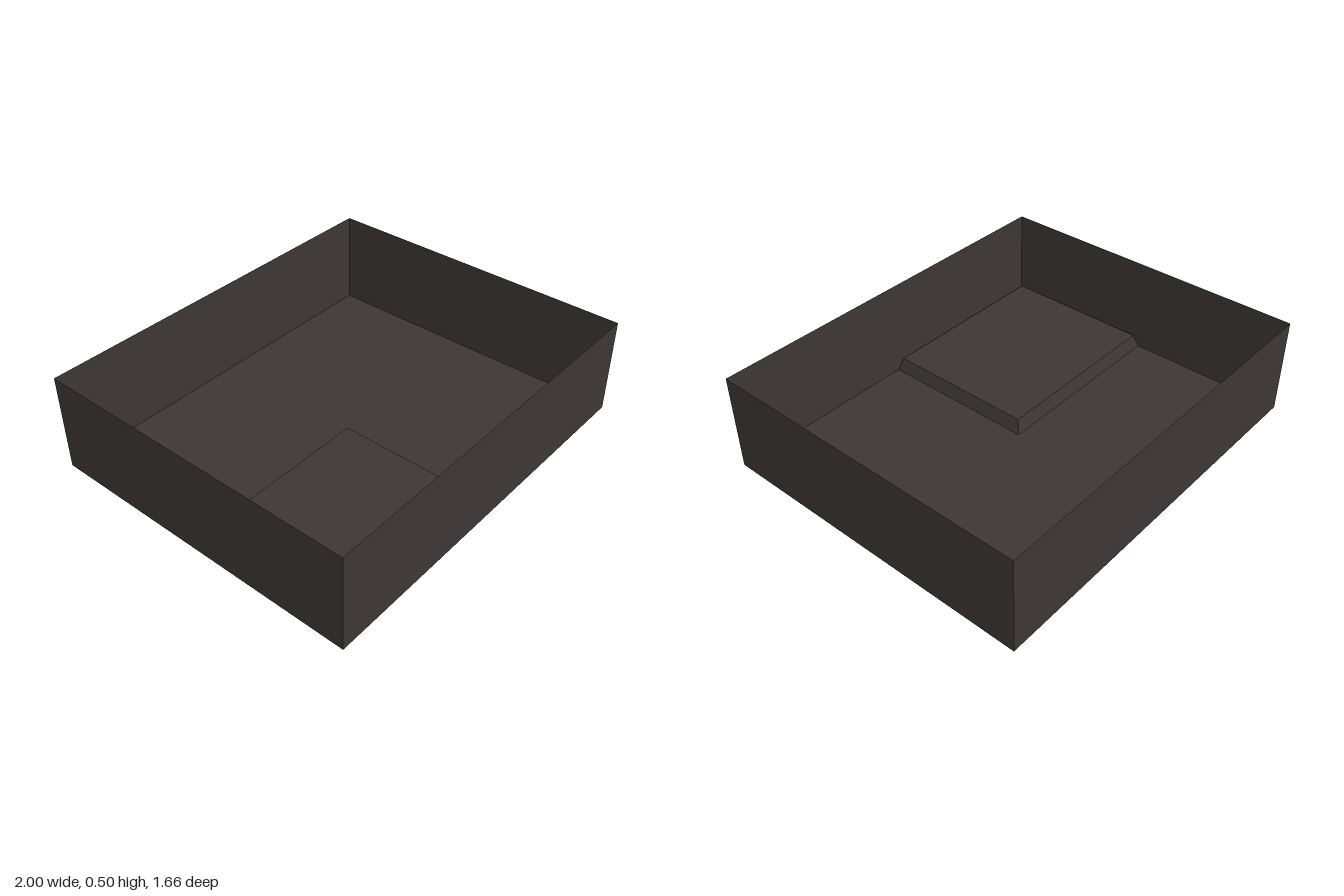
import * as THREE from 'three';

const W = 2, D = 1.664, H = 0.5;      // tray size
const STEP = 0.07, INSET = 0.022;     // raised panel height and bevel

export function createModel() {
  const group = new THREE.Group();
  const charcoal = new THREE.MeshStandardMaterial({ color: 0x3d3636, side: THREE.DoubleSide });
  charcoal.name = 'charcoal';

  const add = (name, geometry, x, y, z, rx = 0, ry = 0) => {
    const mesh = new THREE.Mesh(geometry, charcoal);
    mesh.name = name;
    mesh.position.set(x, y, z);
    mesh.rotation.set(rx, ry, 0);
    group.add(mesh);
  };

  // thin outer walls
  add('frontWall', new THREE.PlaneGeometry(W, H), 0, H / 2, D / 2);
  add('backWall', new THREE.PlaneGeometry(W, H), 0, H / 2, -D / 2, 0, Math.PI);
  add('leftWall', new THREE.PlaneGeometry(D, H), W / 2, H / 2, 0, 0, Math.PI / 2);
  add('rightWall', new THREE.PlaneGeometry(D, H), -W / 2, H / 2, 0, 0, -Math.PI / 2);

  // L-shaped floor, open beneath the raised panel
  add('backFloor', new THREE.PlaneGeometry(W, D / 2), 0, 0, -D / 4, -Math.PI / 2);
  add('frontFloor', new THREE.PlaneGeometry(W / 2, D / 2), W / 4, 0, D / 4, -Math.PI / 2);

  // hollow raised panel: a box without its bottom, top corners drawn inward
  const w = W / 2, d = D / 2;
  const box = new THREE.BoxGeometry(w, STEP, d);
  const pos = box.attributes.position;
  for (let i = 0; i < pos.count; i++) {
    if (pos.getY(i) > 0) {
      pos.setX(i, Math.sign(pos.getX(i)) * (w / 2 - INSET));
      pos.setZ(i, Math.sign(pos.getZ(i)) * (d / 2 - INSET));
    }
  }
  const index = Array.from(box.index.array);
  index.splice(18, 6); // bottom face
  box.setIndex(index);
  box.clearGroups();
  box.computeVertexNormals();
  add('raisedPanel', box, -W / 4, STEP / 2, D / 4);

  return group;
}
